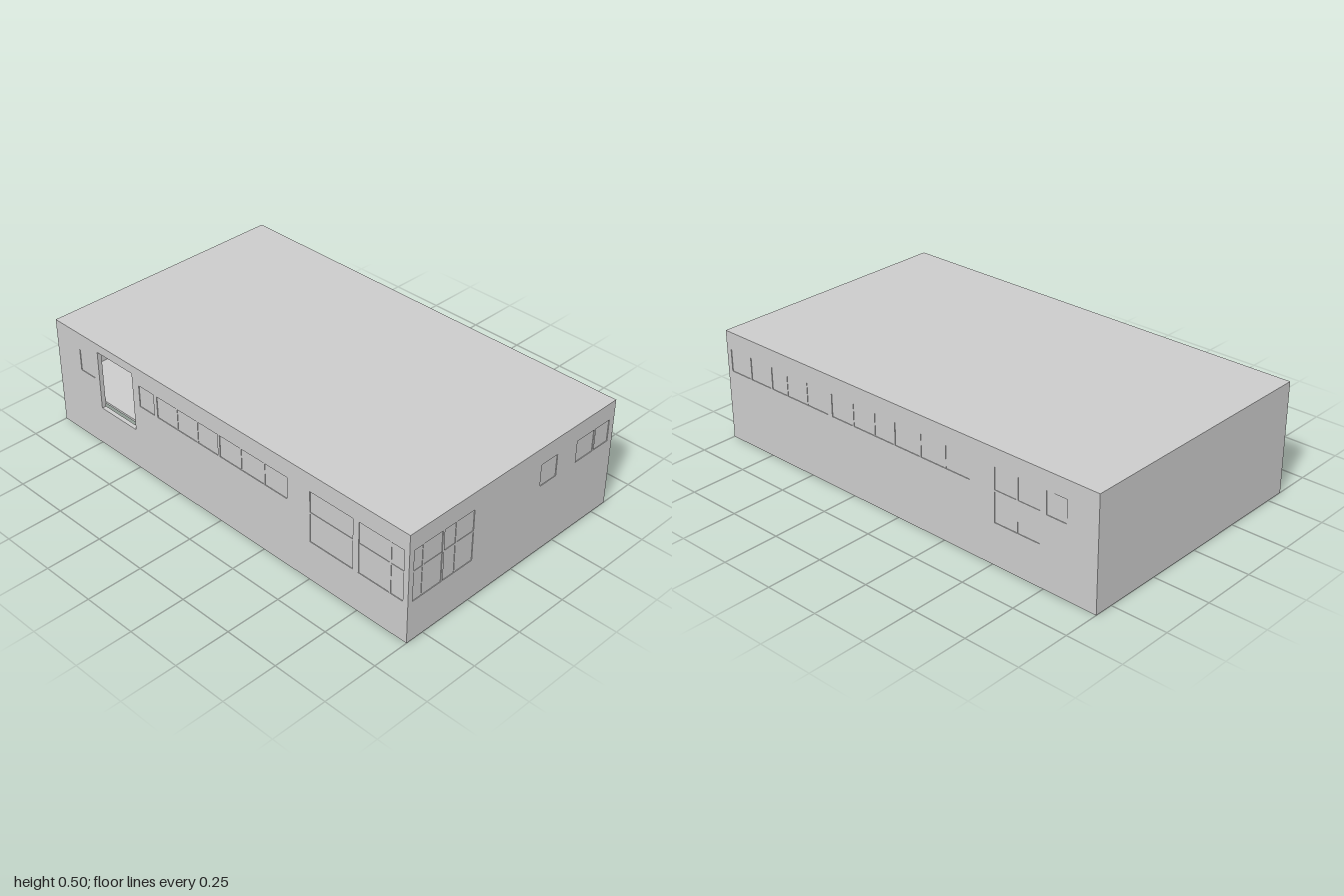
import * as THREE from 'three';

const W = 2, H = 0.5, D = 1.17, T = 0.02; // width, height, depth, wall thickness
const LOW = 0.185, MID = 0.32, TOP = 0.42; // sill, transom and head heights
const FLOOR = 0.2;
const mat = new THREE.MeshStandardMaterial({ color: 0xcccccc });

function box(name, w, h, d, x, y, z) {
  const m = new THREE.Mesh(new THREE.BoxGeometry(w, h, d), mat);
  m.name = name;
  m.position.set(x, y, z);
  return m;
}

// One wall facing +z before turning; openings are [x0, x1, y0, y1, bars, open]
function wall(name, length, distance, angle, openings) {
  const g = new THREE.Group();
  g.name = name;
  const s = new THREE.Shape();
  s.moveTo(-length / 2, 0);
  s.lineTo(length / 2, 0);
  s.lineTo(length / 2, H);
  s.lineTo(-length / 2, H);
  s.closePath();
  for (const [x0, x1, y0, y1, bars = [], open] of openings) {
    const hole = new THREE.Path();
    hole.moveTo(x0, y0);
    hole.lineTo(x0, y1);
    hole.lineTo(x1, y1);
    hole.lineTo(x1, y0);
    hole.closePath();
    s.holes.push(hole);
    if (open) continue;
    const cx = (x0 + x1) / 2, cy = (y0 + y1) / 2;
    // Pane set just behind the wall face
    g.add(box('windowPane', x1 - x0, y1 - y0, 0.008, cx, cy, distance - 0.007));
    // Upright bars, and a transom across tall windows
    for (const b of bars) g.add(box('mullion', 0.008, y1 - y0, 0.012, b, cy, distance - 0.007));
    if (y0 < MID && y1 > MID) g.add(box('transom', x1 - x0, 0.008, 0.012, cx, MID, distance - 0.007));
  }
  const geo = new THREE.ExtrudeGeometry(s, { depth: T, bevelEnabled: false });
  geo.translate(0, 0, distance - T);
  const panel = new THREE.Mesh(geo, mat);
  panel.name = name + 'Panel';
  g.add(panel);
  g.rotation.y = angle;
  return g;
}

export function createModel() {
  const model = new THREE.Group();
  model.name = 'building';

  // Front: open doorway, clerestory strip and tall windows
  model.add(wall('frontWall', W, D / 2, 0, [
    [-0.85, -0.76, MID, TOP],
    [-0.73, -0.51, LOW, 0.46, [], true],
    [-0.47, -0.38, MID, TOP],
    [-0.36, 0, MID, TOP, [-0.24, -0.12]],
    [0.012, 0.385, MID, TOP, [0.13, 0.26]],
    [0.505, 0.725, LOW, TOP],
    [0.755, 0.975, LOW, TOP, [0.91]],
  ]));

  // Back: x is mirrored by the half turn
  model.add(wall('backWall', W, D / 2, Math.PI, [
    [-0.975, -0.86, MID, TOP],
    [-0.85, -0.73, MID, TOP],
    [-0.72, -0.385, MID, TOP, [-0.63, -0.51]],
    [-0.36, -0.015, MID, TOP, [-0.24, -0.12]],
    [-0.005, 0.385, MID, TOP, [0.13, 0.26]],
    [0.51, 0.73, LOW, TOP, [0.62]],
    [0.76, 0.855, MID, TOP],
  ]));

  // Right side: local x runs towards the back
  const endLength = D - 2 * T;
  model.add(wall('rightWall', endLength, W / 2, Math.PI / 2, [
    [-0.56, -0.41, LOW, TOP, [-0.51]],
    [-0.4, -0.24, LOW, TOP, [-0.335]],
    [0.14, 0.235, MID, TOP],
    [0.355, 0.46, MID, TOP],
    [0.47, 0.555, MID, TOP],
  ]));

  // Left side is blank
  model.add(wall('leftWall', endLength, W / 2, -Math.PI / 2, []));

  // Roof and raised floor; the base below the floor is open
  model.add(box('roof', W - 2 * T, T, D - 2 * T, 0, H - T / 2, 0));
  model.add(box('floor', W - 2 * T, 0.01, D - 2 * T, 0, FLOOR + 0.005, 0));

  // Row of columns along the middle, poking just through the floor
  const y0 = LOW + 0.005, y1 = H - T;
  for (let i = 0; i < 7; i++) {
    model.add(box('column', 0.03, y1 - y0, 0.03, 0.73 - 0.248 * i, (y0 + y1) / 2, 0.01));
  }
  return model;
}
